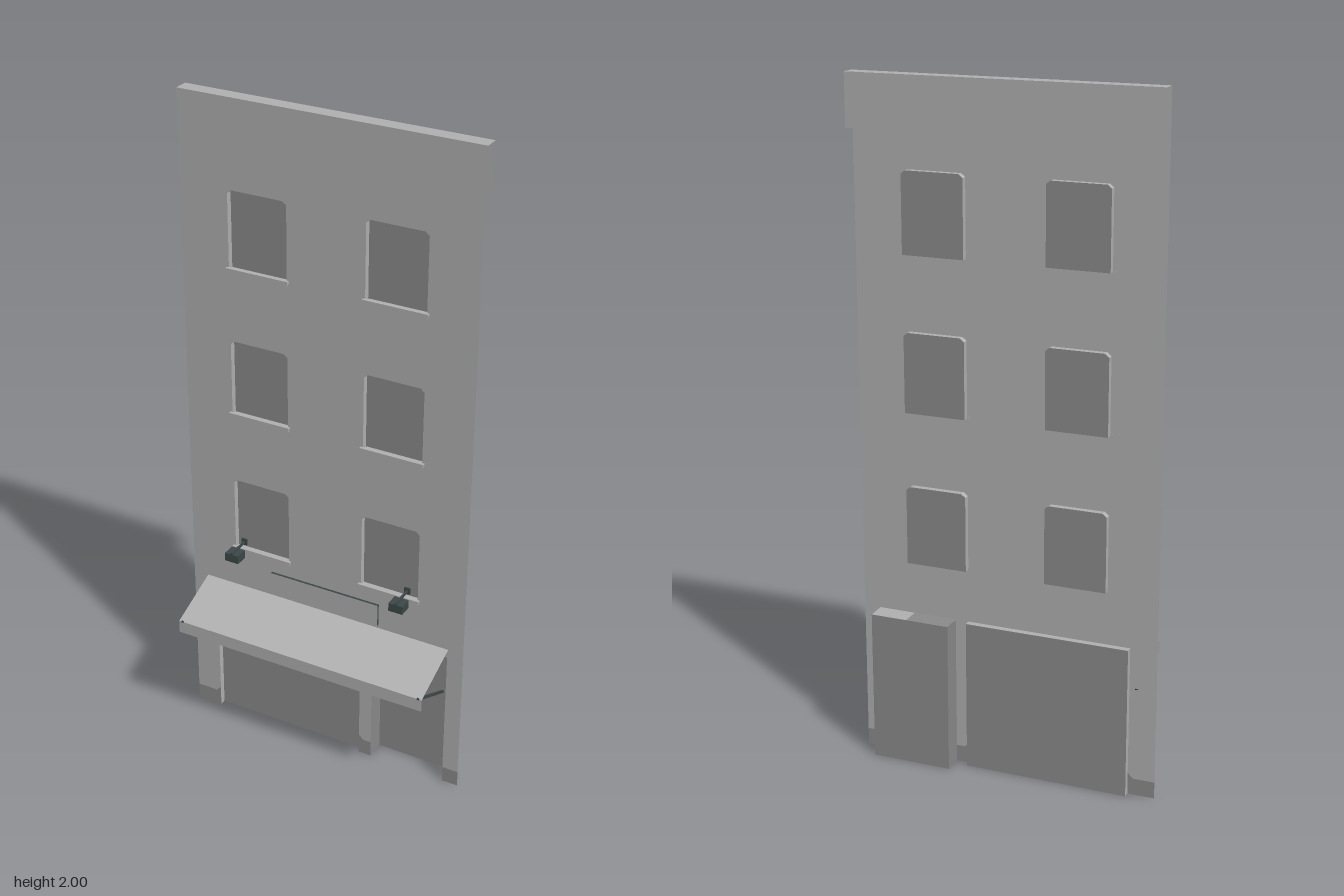
import * as THREE from 'three';

const WALL_Z = -0.056;

export function createModel() {
  const root = new THREE.Group();
  const material = (name, color) => {
    const m = new THREE.MeshStandardMaterial({ color, side: THREE.DoubleSide });
    m.name = name;
    return m;
  };
  const plaster = material('light plaster', 0xb2b2b2);
  const shade = material('dark grey', 0x8c8c8c);
  const metal = material('dark metal', 0x3e4848);

  const add = (name, geometry, mat, x = 0, y = 0, z = 0, parent = root) => {
    const mesh = new THREE.Mesh(geometry, mat);
    mesh.name = name;
    mesh.position.set(x, y, z);
    parent.add(mesh);
    return mesh;
  };
  const box = (name, w, h, d, mat, x, y, z, parent) =>
    add(name, new THREE.BoxGeometry(w, h, d), mat, x, y, z, parent);
  const toShape = (pts) => new THREE.Shape(pts.map(([x, y]) => new THREE.Vector2(x, y)));
  const flat = (name, pts, mat, z, parent) =>
    add(name, new THREE.ShapeGeometry(toShape(pts)), mat, 0, 0, z, parent);

  // Quads that run from the wall face back to depth z along an outline
  const reveal = (name, pts, z, mat, parent) => {
    const v = [];
    for (let i = 0; i + 1 < pts.length; i++) {
      const [a, b] = pts[i], [c, d] = pts[i + 1];
      v.push(a, b, WALL_Z, c, d, WALL_Z, c, d, z, a, b, WALL_Z, c, d, z, a, b, z);
    }
    const g = new THREE.BufferGeometry();
    g.setAttribute('position', new THREE.Float32BufferAttribute(v, 3));
    g.computeVertexNormals();
    return add(name, g, mat, 0, 0, 0, parent);
  };

  // Wall outline with the two ground floor openings cut up from the bottom
  const wall = toShape([
    [-0.45, 0.05], [-0.385, 0.05], [-0.37, 0.065], [-0.37, 0.45], [0.12, 0.45],
    [0.12, 0.065], [0.135, 0.05], [0.16, 0.05], [0.16, 0.45], [0.4, 0.45],
    [0.4, 0.05], [0.45, 0.05], [0.45, 2], [-0.45, 2],
  ]);

  // Windows with softened top corners, recessed panes and stepped sills
  for (const y of [0.61, 1.06, 1.51]) {
    for (const x of [-0.21, 0.21]) {
      const group = new THREE.Group();
      group.name = 'window';
      root.add(group);
      const w = 0.091, top = y + 0.232;
      const pts = [
        [x - w, y], [x + w, y], [x + w, top - 0.01], [x + w - 0.012, top],
        [x - w + 0.012, top], [x - w, top - 0.01],
      ];
      wall.holes.push(new THREE.Path(pts.map(([a, b]) => new THREE.Vector2(a, b))));
      reveal('windowReveal', [...pts, pts[0]], -0.074, plaster, group);
      flat('windowPane', pts, shade, -0.074, group);
      box('windowSill', 0.195, 0.008, 0.01, plaster, x, y + 0.002, -0.052, group);
      box('sillMoulding', 0.188, 0.007, 0.005, plaster, x, y - 0.0055, -0.0535, group);
    }
  }
  add('facadeWall', new THREE.ShapeGeometry(wall), plaster, 0, 0, WALL_Z);

  // Dark bases of the three piers
  flat('leftPierBase', [[0.4, 0], [0.45, 0], [0.45, 0.05], [0.4, 0.05]], shade, WALL_Z);
  flat('middlePierBase', [[0.12, 0], [0.16, 0], [0.16, 0.05], [0.135, 0.05], [0.12, 0.065]], shade, WALL_Z);
  flat('rightPierBase', [[-0.45, 0], [-0.37, 0], [-0.37, 0.065], [-0.385, 0.05], [-0.45, 0.05]], shade, WALL_Z);

  // Shop front: shallow recess
  flat('shopFront', [[-0.37, 0], [0.12, 0], [0.12, 0.45], [-0.37, 0.45]], shade, -0.075);
  reveal('shopFrontReveal', [[-0.37, 0], [-0.37, 0.45], [0.12, 0.45], [0.12, 0]], -0.075, plaster);

  // Entrance: deep recess with a two-tone lining
  flat('entrance', [[0.16, 0], [0.4, 0], [0.4, 0.45], [0.16, 0.45]], shade, -0.115);
  reveal('entranceLiningDark', [[0.16, 0], [0.16, 0.45], [0.29, 0.45]], -0.115, shade);
  reveal('entranceLiningLight', [[0.29, 0.45], [0.4, 0.45], [0.4, 0.29]], -0.115, plaster);
  reveal('entranceLiningLower', [[0.4, 0.29], [0.4, 0]], -0.115, shade);

  // Parapet cap and the panel hanging behind it
  const cap = add('parapetCap', new THREE.PlaneGeometry(0.9, 0.044), plaster, 0, 2, -0.078);
  cap.rotation.x = -Math.PI / 2;
  const back = add('parapetBack', new THREE.PlaneGeometry(0.9, 0.15), plaster, 0, 1.925, -0.1);
  back.rotation.y = Math.PI;

  // Sign board with dark edges
  box('signBoard', 0.356, 0.07, 0.008, [metal, metal, metal, metal, plaster, plaster], 0, 0.525, -0.052);

  // Awning: sloping canopy and valance
  const rise = 0.068, run = 0.168;
  const canopy = add('awningCanopy', new THREE.PlaneGeometry(0.805, Math.hypot(rise, run)), plaster,
    0, 0.41 + rise / 2, 0.112 - run / 2);
  canopy.rotation.x = -Math.atan2(run, rise);
  add('awningValance', new THREE.PlaneGeometry(0.805, 0.04), plaster, 0, 0.39, 0.112);

  for (const s of [-1, 1]) {
    // Awning struts
    const drop = 0.083;
    const strut = box('awningStrut', 0.008, 0.006, Math.hypot(drop, run), metal,
      s * 0.391, 0.41 - drop / 2, 0.112 - run / 2);
    strut.rotation.x = -Math.atan2(drop, run);

    // Sign lamps on wall arms
    const lamp = new THREE.Group();
    lamp.name = 'signLamp';
    lamp.position.x = s * 0.269;
    root.add(lamp);
    box('lampHead', 0.044, 0.026, 0.04, metal, 0, 0.622, 0.002, lamp);
    box('lampArm', 0.006, 0.006, 0.078, metal, 0, 0.638, -0.017, lamp);
    box('lampMount', 0.018, 0.02, 0.005, metal, 0, 0.639, -0.0535, lamp);
  }
  return root;
}
